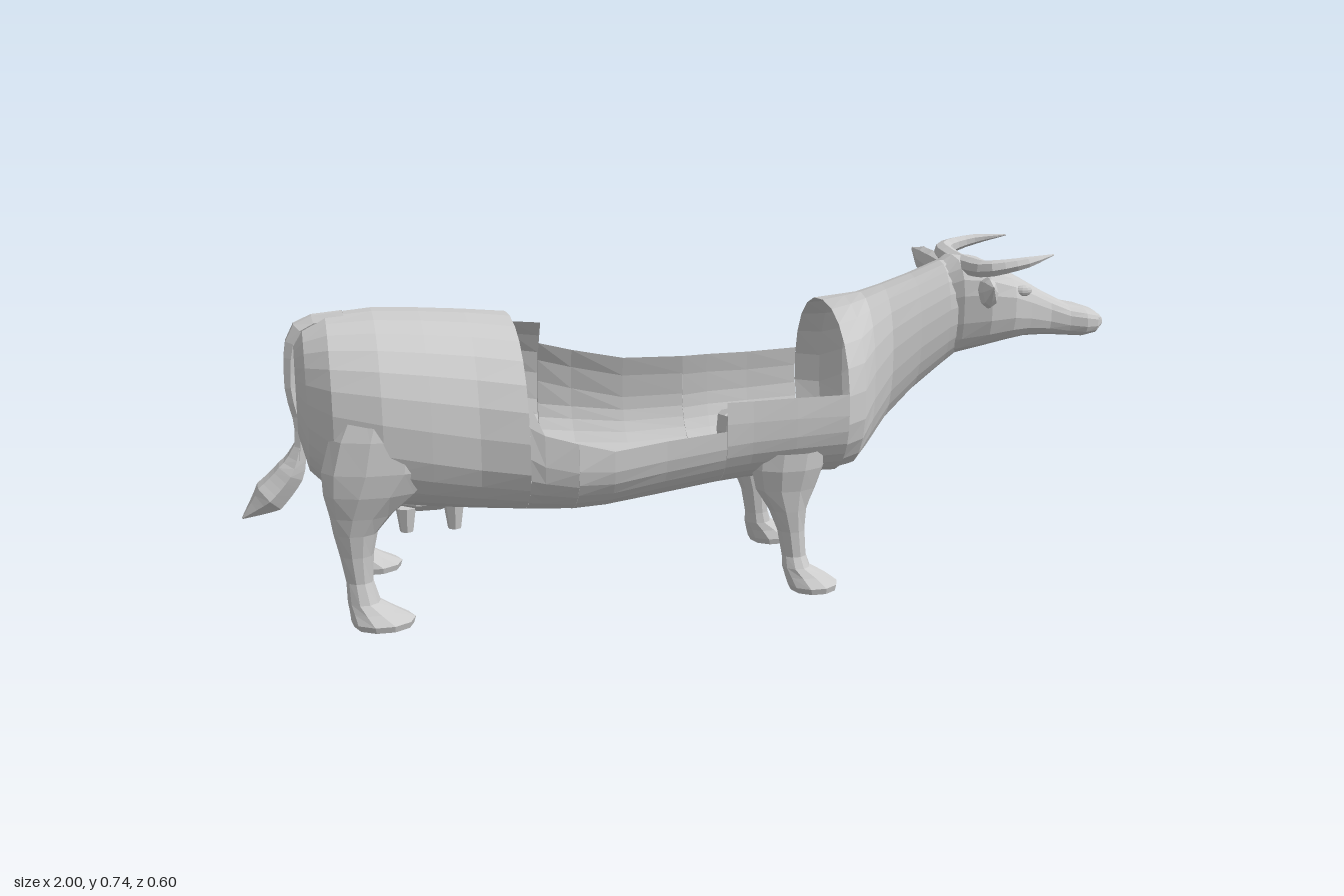
import * as THREE from 'three';

const material = new THREE.MeshStandardMaterial({ color: 0xcccccc, flatShading: true, side: THREE.DoubleSide });

function add(parent, name, geometry) {
  const mesh = new THREE.Mesh(geometry, material);
  mesh.name = name;
  parent.add(mesh);
  return mesh;
}

// Skin a list of equally long rings; optional fans close the ends.
function loft(rings, capStart, capEnd) {
  const n = rings[0].length, pos = [], index = [];
  rings.forEach(r => r.forEach(p => pos.push(...p)));
  for (let i = 0; i < rings.length - 1; i++) {
    for (let j = 0; j < n - 1; j++) {
      const a = i * n + j, b = a + n;
      index.push(a, b, b + 1, a, b + 1, a + 1);
    }
  }
  const cap = (i, flip) => {
    const c = [0, 1, 2].map(k => rings[i].reduce((s, p) => s + p[k], 0) / n);
    const m = pos.length / 3;
    pos.push(...c);
    for (let j = 0; j < n - 1; j++) {
      const a = i * n + j;
      index.push(m, flip ? a + 1 : a, flip ? a : a + 1);
    }
  };
  if (capStart) cap(0, true);
  if (capEnd) cap(rings.length - 1, false);
  const g = new THREE.BufferGeometry();
  g.setAttribute('position', new THREE.Float32BufferAttribute(pos, 3));
  g.setIndex(index);
  g.computeVertexNormals();
  return g;
}

// Cross-section of the body at x: top, bottom, half width, height of the widest point.
// Rim heights, if given, cut the section open above them (left, right).
// A smaller "round" makes the section boxier.
function section([x, top, bottom, width, mid, rimL, rimR], segments, round) {
  const cut = rim => rim === undefined ? Math.PI
    : Math.PI - Math.acos(Math.pow((rim - mid) / (top - mid), 1 / round));
  const from = -cut(rimR), to = cut(rimL), ring = [];
  for (let j = 0; j <= segments; j++) {
    const a = from + (to - from) * j / segments;
    const c = Math.cos(a), s = Math.sin(a);
    const h = Math.pow(Math.abs(c), round);
    ring.push([x, c > 0 ? mid - h * (mid - bottom) : mid + h * (top - mid),
      Math.sign(s) * Math.pow(Math.abs(s), round) * width]);
  }
  return ring;
}
const bodyLoft = (rows, segments, capStart, capEnd, round = 0.86) =>
  loft(rows.map(r => section(r, segments, round)), capStart, capEnd);

// Leg from horizontal rings, top to bottom: y, centre x, radius x, centre z, radius z.
function legLoft(rows) {
  return loft(rows.map(([y, cx, rx, cz, rz]) => {
    const ring = [];
    for (let j = 0; j <= 10; j++) {
      const a = j / 10 * Math.PI * 2;
      ring.push([cx + Math.cos(a) * rx, y, cz - Math.sin(a) * rz]);
    }
    return ring;
  }), false, true);
}

// Tube along points whose radius follows a list; scale flattens it per axis.
function taper(points, radii, scale = [1, 1, 1], sides = 8) {
  const curve = new THREE.CatmullRomCurve3(points.map(p => new THREE.Vector3(...p)));
  const steps = 12, g = new THREE.TubeGeometry(curve, steps, 1, sides);
  const p = g.attributes.position, v = new THREE.Vector3(), s = new THREE.Vector3(...scale);
  for (let i = 0; i < p.count; i++) {
    const u = Math.floor(i / (sides + 1)) / steps, t = u * (radii.length - 1);
    const k = Math.min(Math.floor(t), radii.length - 2);
    const r = THREE.MathUtils.lerp(radii[k], radii[k + 1], t - k);
    const c = curve.getPointAt(u);
    v.fromBufferAttribute(p, i).sub(c).multiply(s).multiplyScalar(r).add(c);
    p.setXYZ(i, v.x, v.y, v.z);
  }
  g.computeVertexNormals();
  return g;
}

function ellipsoid(parent, name, position, scale) {
  const mesh = add(parent, name, new THREE.SphereGeometry(1, 10, 7));
  mesh.position.set(...position);
  mesh.scale.set(...scale);
}

export function createModel() {
  const cow = new THREE.Group();
  cow.name = 'cow';

  // Hollow hindquarters, open towards the missing back
  add(cow, 'hindquarters', bodyLoft([
    [-0.87, 0.59, 0.39, 0.065, 0.48],
    [-0.85, 0.622, 0.31, 0.13, 0.46],
    [-0.8, 0.646, 0.262, 0.193, 0.44],
    [-0.7, 0.653, 0.238, 0.232, 0.42],
    [-0.6, 0.648, 0.225, 0.245, 0.4],
    [-0.5, 0.64, 0.217, 0.255, 0.38],
    [-0.4, 0.628, 0.213, 0.285, 0.37],
  ], 26, true, false));

  // Open trough of the belly with a stepped rim
  add(cow, 'belly', bodyLoft([
    [-0.4, 0.628, 0.213, 0.285, 0.37, 0.5, 0.57],
    [-0.37, 0.628, 0.212, 0.292, 0.367, 0.43, 0.57],
    [-0.3, 0.628, 0.21, 0.3, 0.36, 0.41, 0.56],
    [-0.299, 0.628, 0.21, 0.3, 0.36, 0.41, 0.5],
    [-0.22, 0.625, 0.21, 0.285, 0.365, 0.385, 0.48],
    [-0.1, 0.62, 0.22, 0.25, 0.37, 0.39, 0.46],
    [0.04, 0.62, 0.235, 0.222, 0.38, 0.395, 0.463],
    [0.041, 0.62, 0.235, 0.222, 0.38, 0.458, 0.463],
    [0.1, 0.62, 0.24, 0.22, 0.39, 0.458, 0.465],
    [0.2, 0.625, 0.245, 0.22, 0.4, 0.46, 0.465],
    [0.32, 0.63, 0.24, 0.216, 0.42, 0.46, 0.47],
  ], 20, false, false));

  // Hollow chest and neck
  add(cow, 'chestAndNeck', bodyLoft([
    [0.32, 0.63, 0.24, 0.216, 0.42],
    [0.37, 0.638, 0.245, 0.178, 0.42],
    [0.41, 0.645, 0.275, 0.125, 0.45],
    [0.46, 0.66, 0.34, 0.098, 0.5],
    [0.53, 0.683, 0.41, 0.09, 0.55],
    [0.6, 0.71, 0.465, 0.085, 0.59],
    [0.66, 0.71, 0.51, 0.08, 0.61],
  ], 22, false, false, 0.92));

  // Boxy head with tapering face and wider muzzle
  add(cow, 'head', bodyLoft([
    [0.6, 0.705, 0.49, 0.07, 0.6],
    [0.63, 0.722, 0.495, 0.092, 0.61],
    [0.69, 0.715, 0.51, 0.112, 0.615],
    [0.75, 0.687, 0.522, 0.108, 0.615],
    [0.8, 0.66, 0.528, 0.084, 0.6],
    [0.86, 0.625, 0.526, 0.059, 0.58],
    [0.91, 0.6, 0.522, 0.059, 0.565],
    [0.95, 0.591, 0.519, 0.065, 0.56],
    [0.98, 0.581, 0.525, 0.057, 0.556],
    [1.0, 0.566, 0.54, 0.035, 0.554],
  ], 18, true, true, 0.72));

  // Tail with a brush at the end
  add(cow, 'tail', taper([[-0.76, 0.645, 0], [-0.855, 0.62, 0], [-0.88, 0.5, 0], [-0.865, 0.4, 0], [-0.87, 0.33, 0]],
    [0.014, 0.021, 0.016, 0.013, 0.015], [1, 1, 1], 6));
  add(cow, 'tailBrush', taper([[-0.865, 0.37, 0], [-0.885, 0.31, -0.01], [-0.935, 0.25, -0.015], [-1, 0.2, -0.01]],
    [0.012, 0.034, 0.04, 0.002], [1, 1, 1.05], 6));

  ellipsoid(cow, 'udder', [-0.6, 0.248, 0], [0.1, 0.044, 0.12]);

  // Paired parts
  for (const [label, sign] of [['right', -1], ['left', 1]]) {
    const side = new THREE.Group();
    side.name = label + 'SideParts';
    side.scale.z = sign;
    cow.add(side);

    add(side, 'frontLeg', legLoft([
      [0.33, 0.2, 0.086, 0.16, 0.054],
      [0.29, 0.195, 0.084, 0.162, 0.052],
      [0.24, 0.192, 0.07, 0.16, 0.043],
      [0.19, 0.197, 0.044, 0.16, 0.038],
      [0.14, 0.205, 0.032, 0.16, 0.032],
      [0.08, 0.212, 0.028, 0.162, 0.028],
      [0.055, 0.216, 0.032, 0.167, 0.034],
      [0.035, 0.236, 0.047, 0.172, 0.042],
      [0.014, 0.253, 0.058, 0.177, 0.054],
      [0, 0.255, 0.053, 0.177, 0.05],
    ]));
    add(side, 'hindLeg', legLoft([
      [0.52, -0.67, 0.09, 0.165, 0.045],
      [0.42, -0.69, 0.12, 0.178, 0.055],
      [0.35, -0.7, 0.13, 0.18, 0.057],
      [0.3, -0.724, 0.104, 0.18, 0.051],
      [0.25, -0.75, 0.067, 0.175, 0.042],
      [0.21, -0.764, 0.047, 0.172, 0.036],
      [0.16, -0.764, 0.036, 0.17, 0.031],
      [0.1, -0.76, 0.029, 0.17, 0.028],
      [0.055, -0.753, 0.035, 0.174, 0.036],
      [0.035, -0.735, 0.05, 0.178, 0.046],
      [0.014, -0.714, 0.069, 0.184, 0.058],
      [0, -0.713, 0.064, 0.184, 0.054],
    ]));

    add(side, 'horn', taper(
      [[0.655, 0.703, 0], [0.65, 0.706, 0.07], [0.662, 0.711, 0.135], [0.735, 0.725, 0.16], [0.82, 0.738, 0.139]],
      [0.02, 0.023, 0.021, 0.014, 0.002], [1, 0.9, 1], 7));
    add(side, 'ear', taper(
      [[0.67, 0.66, 0.09], [0.655, 0.664, 0.15], [0.64, 0.672, 0.21], [0.628, 0.692, 0.26]],
      [0.014, 0.027, 0.035, 0.032, 0.004], [0.5, 1, 1]));
    ellipsoid(side, 'eye', [0.772, 0.648, 0.09], [0.022, 0.013, 0.012]);
    ellipsoid(side, 'nostril', [0.977, 0.564, 0.036], [0.017, 0.012, 0.018]);

    // Teats
    for (const x of [-0.65, -0.545]) {
      const teat = add(side, 'teat', new THREE.CylinderGeometry(0.023, 0.015, 0.055, 7));
      teat.position.set(x, 0.203, 0.085);
    }
  }
  return cow;
}
